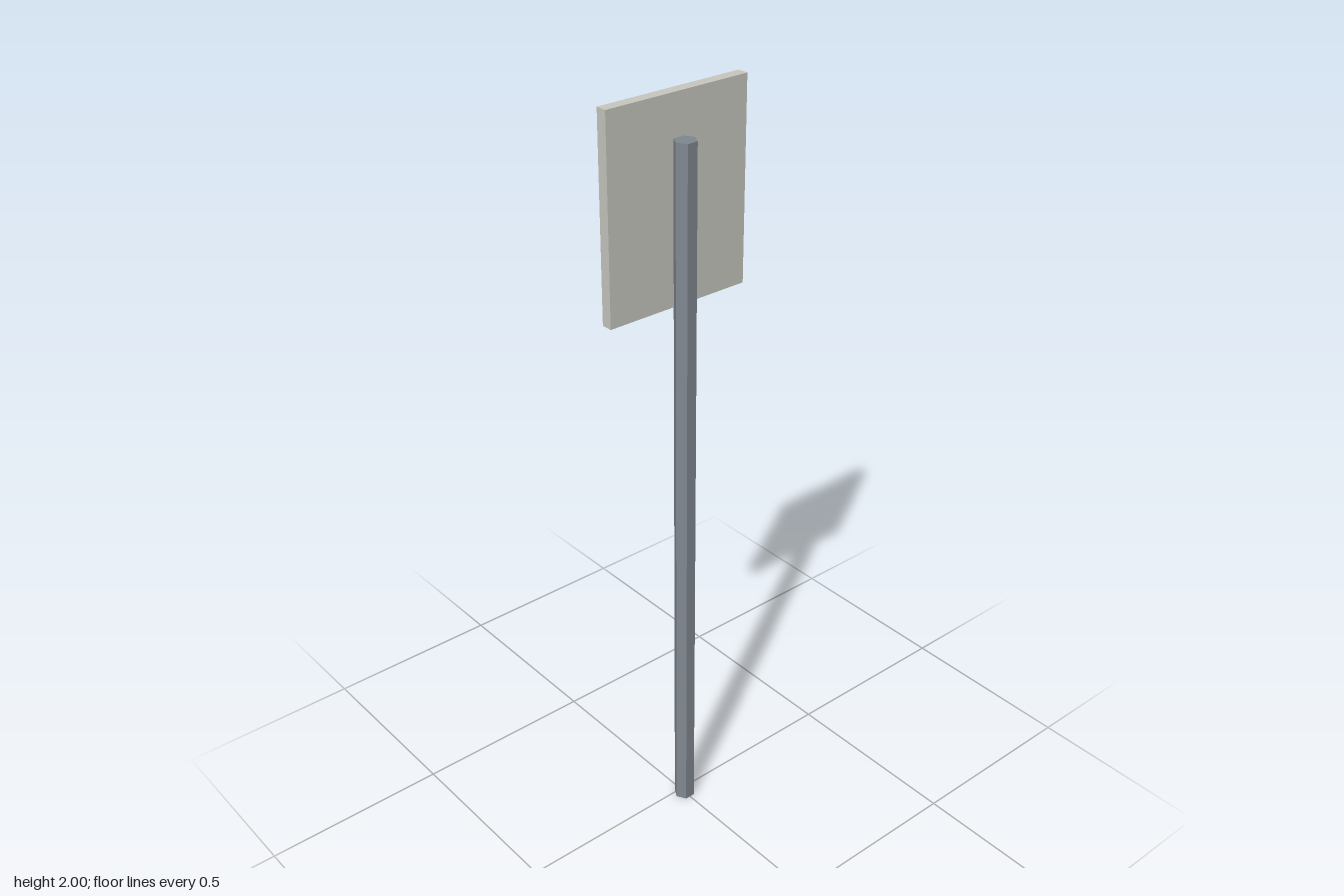
import * as THREE from 'three';

const paint = (name, color) => {
  const m = new THREE.MeshStandardMaterial({ color, flatShading: true });
  m.name = name;
  return m;
};

export function createModel() {
  const group = new THREE.Group();
  group.name = 'signPost';

  const steel = paint('steelGrey', 0x808890);
  const board = paint('paleGrey', 0xc8c8c0);
  const ink = paint('darkNavy', 0x0a0a1a);

  const add = (name, geometry, material, x, y, z) => {
    const mesh = new THREE.Mesh(geometry, material);
    mesh.name = name;
    mesh.position.set(x, y, z);
    group.add(mesh);
  };

  // Hexagonal pole with flat sides to front and back
  const pole = new THREE.CylinderGeometry(0.0283, 0.0283, 1.897, 6).rotateY(Math.PI / 6);
  add('pole', pole, steel, 0, 0.9485, 0.0165);

  // Board fixed behind the pole
  add('board', new THREE.BoxGeometry(0.4, 0.508, 0.029), board, 0, 1.746, -0.0215);

  // Dark plates on the rear face of the board
  add('headerPlate', new THREE.BoxGeometry(0.292, 0.09, 0.008), ink, 0, 1.895, -0.039);
  const disc = new THREE.CylinderGeometry(0.102, 0.102, 0.008, 8).rotateX(Math.PI / 2);
  add('octagonPlate', disc, ink, 0, 1.68, -0.039);

  return group;
}
